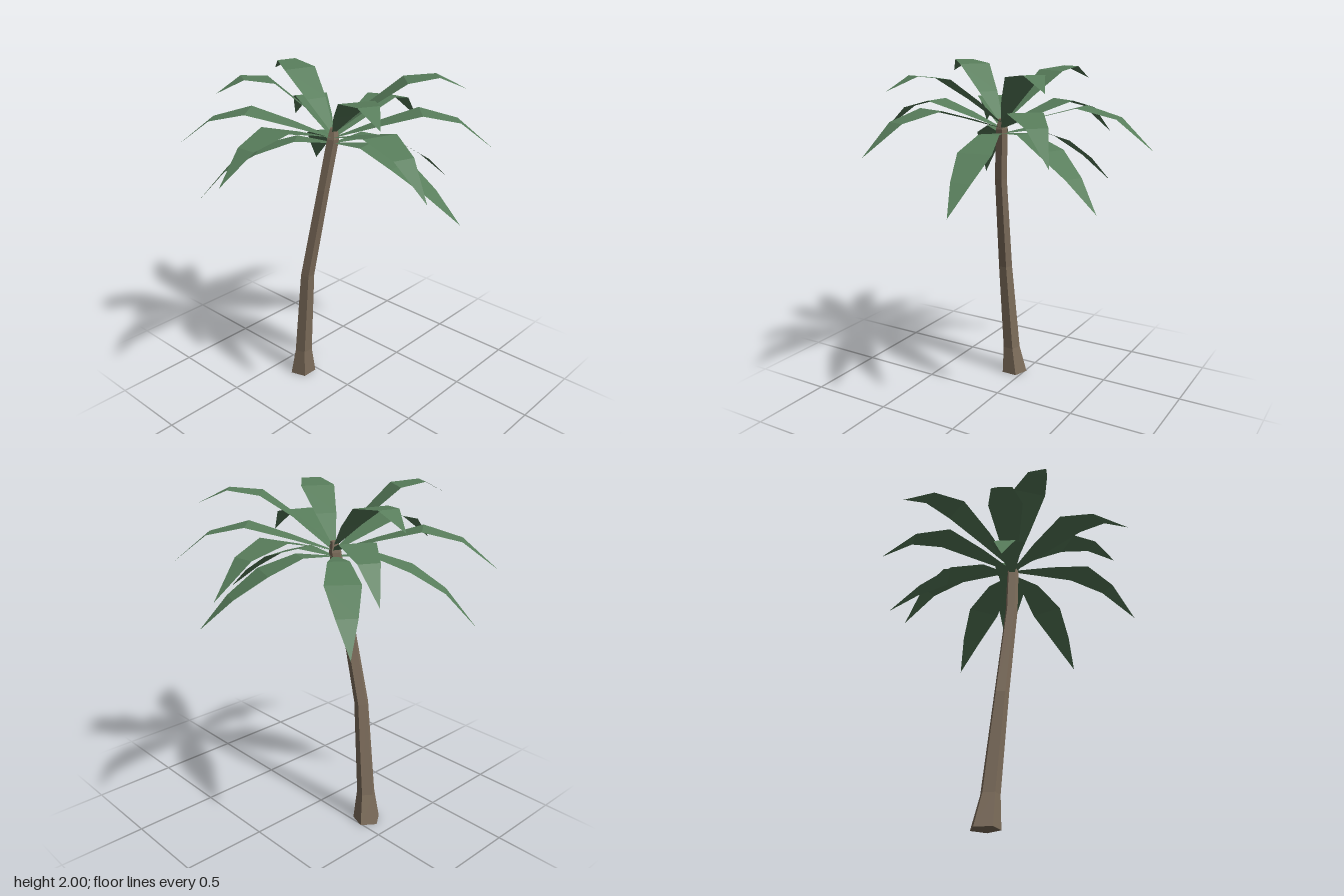
import * as THREE from 'three';

const bark = new THREE.MeshStandardMaterial({ color: 0x7e6e5c, flatShading: true });
bark.name = 'bark';
const leaf = new THREE.MeshStandardMaterial({ color: 0x587d5b, flatShading: true, side: THREE.DoubleSide });
leaf.name = 'leaf';

// Turns a list of triangle corners into a faceted mesh
function facetMesh(name, corners, material) {
  const geometry = new THREE.BufferGeometry().setFromPoints(corners);
  geometry.computeVertexNormals();
  const mesh = new THREE.Mesh(geometry, material);
  mesh.name = name;
  return mesh;
}

// Leaning five-sided trunk, flared at the foot and tapered at the tip
function makeTrunk() {
  const sides = 5;
  // centre x, y, centre z, radius
  const sections = [
    [-0.336, 0, 0.07, 0.083],
    [-0.315, 0.18, 0.08, 0.055],
    [-0.25, 0.75, 0.09, 0.043],
    [-0.135, 1.33, 0.057, 0.037],
    [-0.088, 1.63, 0.024, 0.036],
    [-0.086, 1.69, 0.018, 0.022],
  ];
  const rings = sections.map(([x, y, z, r]) =>
    Array.from({ length: sides }, (_, i) => {
      const a = Math.PI + (i / sides) * Math.PI * 2;
      return new THREE.Vector3(x + r * Math.cos(a), y, z + r * Math.sin(a));
    }));
  const corners = [];
  const last = rings.length - 1;
  for (let i = 0; i < sides; i++) {
    const j = (i + 1) % sides;
    for (let k = 0; k < last; k++) {
      const a = rings[k], b = rings[k + 1];
      corners.push(a[i], b[i], a[j], b[i], b[j], a[j]);
    }
    // end caps
    const [bx, by, bz] = sections[0], [tx, ty, tz] = sections[last];
    corners.push(new THREE.Vector3(bx, by, bz), rings[0][i], rings[0][j]);
    corners.push(new THREE.Vector3(tx, ty, tz), rings[last][j], rings[last][i]);
  }
  return facetMesh('trunk', corners, bark);
}

// Flat blade bending along its length; heights are given at five stations
const STATIONS = [0, 0.265, 0.535, 0.775, 1];
const HALF_WIDTHS = [0.008, 0.06, 0.098, 0.058, 0];

function makeFrond(name, tipX, tipZ, heights) {
  const root = new THREE.Vector3(-0.086, 0, 0.02);
  const reach = new THREE.Vector3(tipX, 0, tipZ).sub(root);
  const side = new THREE.Vector3(-reach.z, 0, reach.x).normalize();
  const edge = (i, sign) => root.clone()
    .addScaledVector(reach, STATIONS[i])
    .addScaledVector(side, sign * HALF_WIDTHS[i])
    .setY(heights[i]);
  const corners = [];
  for (let i = 0; i < 4; i++) {
    const a = edge(i, -1), b = edge(i, 1), c = edge(i + 1, -1), d = edge(i + 1, 1);
    corners.push(a, b, c);
    if (i < 3) corners.push(b, d, c);
  }
  return facetMesh(name, corners, leaf);
}

// Three tiers; each frond is tip x, tip z, tip height, lift of the middle
const TIERS = [
  { name: 'lowerFrond', heights: [1.605, 1.625, 1.555, 1.435], fronds: [
    [0.194, -0.70, 1.275, 0], [0.69, -0.12, 1.29, 0],
    [-0.66, -0.417, 1.278, 0], [-0.71, 0.51, 1.233, 0]] },
  { name: 'middleFrond', heights: [1.635, 1.71, 1.777, 1.725], fronds: [
    [-0.185, -0.857, 1.555, 0], [0.555, -0.607, 1.56, 0], [0.79, 0.318, 1.567, 0],
    [-0.063, 0.847, 1.577, 0], [-0.79, 0.553, 1.57, 0], [-0.786, -0.36, 1.56, 0]] },
  { name: 'upperFrond', heights: [1.66, 1.81, 1.94, 1.96], fronds: [
    [0.42, -0.51, 1.894, 0.01], [0.533, 0.355, 1.873, -0.012],
    [-0.406, 0.558, 1.926, 0.04], [-0.786, -0.20, 1.883, 0.003]] },
];

export function createModel() {
  const palm = new THREE.Group();
  palm.name = 'palmTree';
  palm.add(makeTrunk());

  const crown = new THREE.Group();
  crown.name = 'crown';
  for (const { name, heights, fronds } of TIERS) {
    fronds.forEach(([x, z, tipY, lift], n) => {
      const ys = heights.map((y, i) => y + lift * Math.min(i / 2, 1));
      crown.add(makeFrond(name + (n + 1), x, z, [...ys, tipY]));
    });
  }
  palm.add(crown);
  return palm;
}
